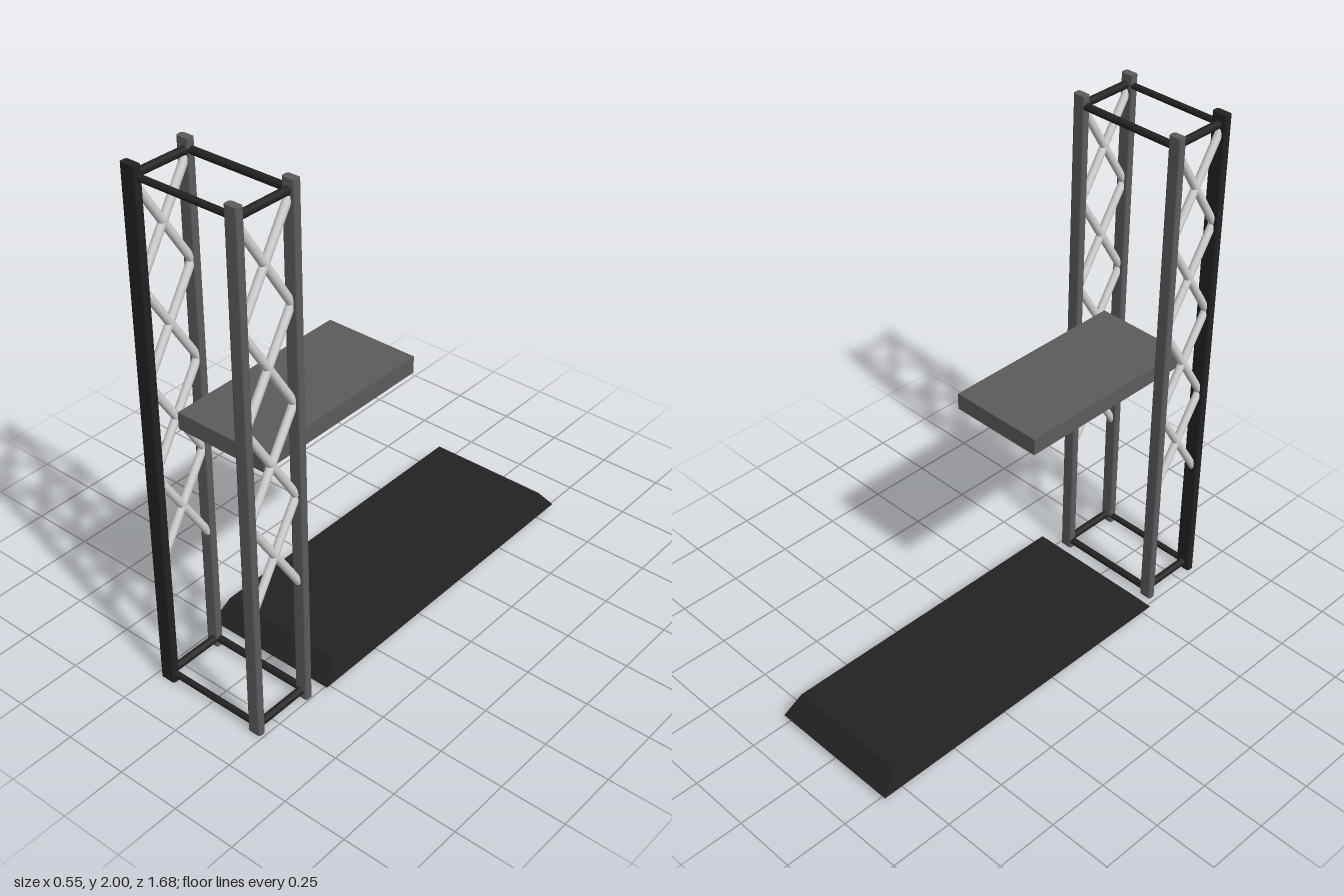
import * as THREE from 'three';

const mat = (name, color) => {
  const m = new THREE.MeshStandardMaterial({ color });
  m.name = name;
  return m;
};

export function createModel() {
  const model = new THREE.Group();
  model.name = 'towerWithShelf';
  const grey = mat('grey', 0x5c5c5c);
  const black = mat('black', 0x222222);
  const silver = mat('silver', 0xd2d2d2);

  const add = (name, geometry, material) => {
    const mesh = new THREE.Mesh(geometry, material);
    mesh.name = name;
    model.add(mesh);
    return mesh;
  };

  // Round bar between two points
  const rod = (name, a, b, radius, material) => {
    const start = new THREE.Vector3(...a), dir = new THREE.Vector3(...b).sub(start);
    const mesh = add(name, new THREE.CylinderGeometry(radius, radius, dir.length(), 16), material);
    mesh.position.copy(start).addScaledVector(dir, 0.5);
    mesh.quaternion.setFromUnitVectors(new THREE.Vector3(0, 1, 0), dir.normalize());
  };

  // Upright with softly rounded corners, full height
  const post = (name, x0, x1, zc, material) => {
    const w = (x1 - x0) / 2, d = 0.015, r = 0.008;
    const s = new THREE.Shape();
    s.absarc(w - r, d - r, r, 0, Math.PI / 2);
    s.absarc(r - w, d - r, r, Math.PI / 2, Math.PI);
    s.absarc(r - w, r - d, r, Math.PI, Math.PI * 1.5);
    s.absarc(w - r, r - d, r, Math.PI * 1.5, Math.PI * 2);
    const g = new THREE.ExtrudeGeometry(s, { depth: 2, bevelEnabled: false, curveSegments: 6 });
    g.rotateX(-Math.PI / 2);
    add(name, g, material).position.set((x0 + x1) / 2, 0, zc);
  };
  post('frontRightPost', -0.23, -0.167, 0.825, black);
  post('frontLeftPost', 0.187, 0.24, 0.825, grey);
  post('backRightPost', -0.232, -0.18, 0.592, grey);
  post('backLeftPost', 0.194, 0.246, 0.592, grey);

  // Horizontal frames at the foot and the head
  for (const y of [0.03, 1.96]) {
    rod('frontBar', [-0.2, y, 0.822], [0.21, y, 0.822], 0.012, black);
    rod('backBar', [-0.2, y, 0.592], [0.21, y, 0.592], 0.014, black);
    for (const x of [-0.197, 0.217]) rod('sideBar', [x, y, 0.592], [x, y, 0.825], 0.015, black);
  }

  // Crossed braces on both sides
  for (const x of [-0.2, 0.216]) {
    for (let i = 0; i < 4; i++) {
      const top = 1.94 - i * 0.357, bottom = top - 0.357;
      rod('brace', [x, top, 0.822], [x, bottom, 0.6], 0.015, silver);
      rod('brace', [x, top, 0.6], [x, bottom, 0.822], 0.015, silver);
    }
  }

  // Shelf passing between the uprights
  add('shelf', new THREE.BoxGeometry(0.373, 0.065, 0.75), grey).position.set(0.008, 1.048, 0.349);

  // Base pad with sloped sides: narrow the top of a box
  const pad = new THREE.BoxGeometry(0.548, 0.08, 1.37);
  const p = pad.attributes.position;
  for (let i = 0; i < p.count; i++) {
    if (p.getY(i) > 0) p.setXYZ(i, p.getX(i) * 0.9, p.getY(i), p.getZ(i) * 0.905);
  }
  pad.computeVertexNormals();
  add('basePad', pad, black).position.set(-0.002, 0.06, -0.155);

  return model;
}
